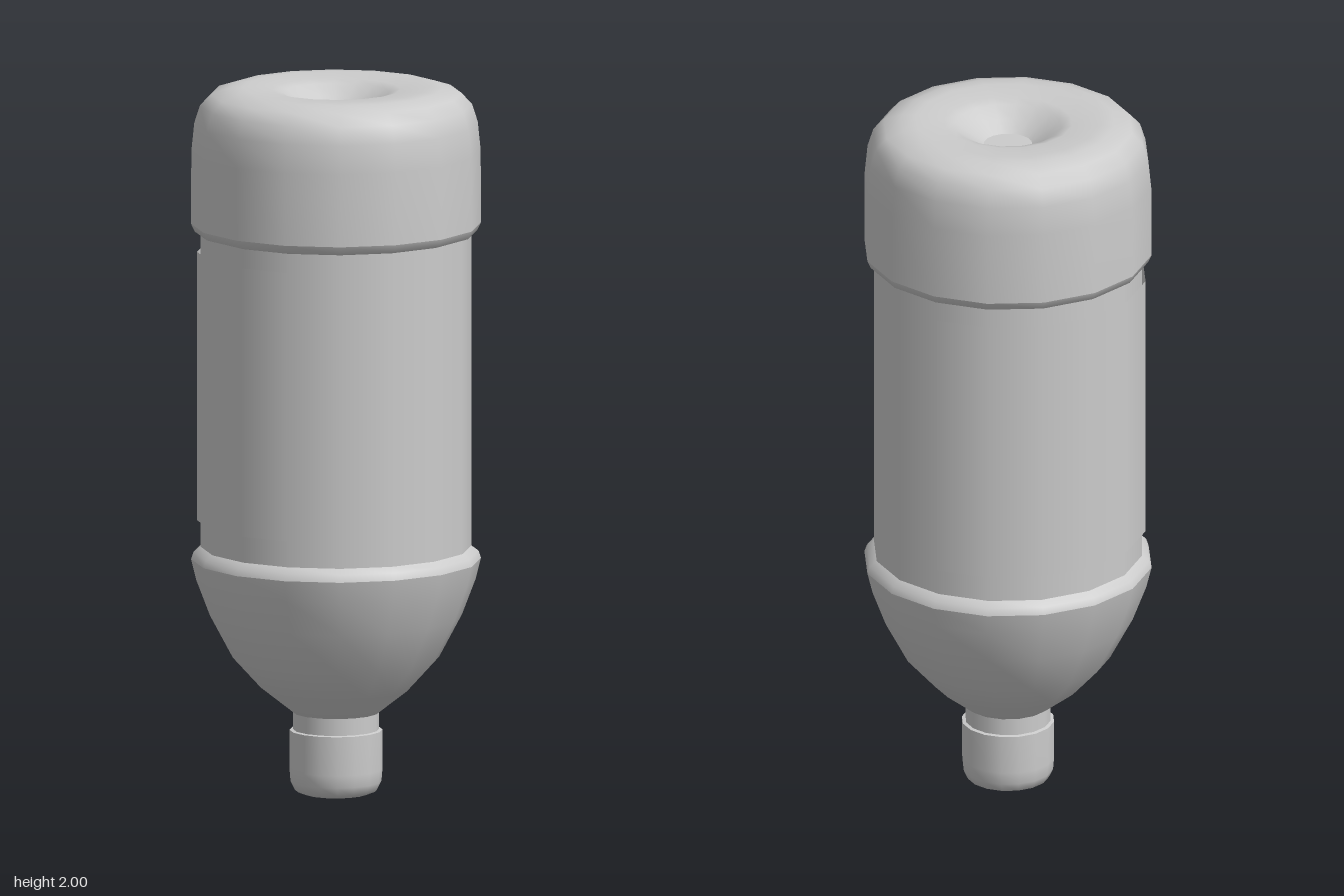
import * as THREE from 'three';

const SIDES = 16;

export function createModel() {
  const group = new THREE.Group();
  const material = new THREE.MeshStandardMaterial({ color: 0xcccccc });
  const thin = new THREE.MeshStandardMaterial({ color: 0xcccccc, side: THREE.DoubleSide });

  const add = (name, geometry, mat = material) => {
    const mesh = new THREE.Mesh(geometry, mat);
    mesh.name = name;
    group.add(mesh);
    return mesh;
  };

  // Each turned section is its own lathe, so the edges between sections stay sharp
  const turn = (name, profile) => add(name,
    new THREE.LatheGeometry(profile.map(([r, y]) => new THREE.Vector2(r, y)), SIDES));

  // Screw cap, at the bottom because the bottle stands upside down
  turn('capEnd', [[0, 0], [0.09, 0]]);
  turn('cap', [[0.09, 0], [0.115, 0.01], [0.127, 0.035], [0.13, 0.07], [0.13, 0.18]]);
  turn('capRim', [[0.13, 0.18], [0.12, 0.182]]);
  turn('neck', [[0.12, 0.18], [0.12, 0.232]]);

  // Curved shoulder and the bevel where it meets the body
  turn('shoulder', [[0.12, 0.23], [0.21, 0.3], [0.288, 0.385], [0.352, 0.505], [0.39, 0.605], [0.405, 0.665]]);
  turn('shoulderBevel', [[0.405, 0.665], [0.398, 0.685], [0.378, 0.7]]);

  turn('body', [[0.378, 0.7], [0.378, 1.59]]);

  // Wider base with a rounded rim and a dimple
  turn('baseBevel', [[0.378, 1.588], [0.395, 1.593], [0.405, 1.615]]);
  turn('base', [
    [0.405, 1.615], [0.404, 1.82], [0.396, 1.9], [0.38, 1.95], [0.35, 1.982], [0.3, 1.998], [0.26, 2],
    [0.18, 1.994], [0.15, 1.985], [0.11, 1.957], [0.068, 1.93],
  ]);
  const floor = add('dimpleFloor', new THREE.CircleGeometry(0.068, SIDES));
  floor.rotation.x = -Math.PI / 2;
  floor.position.y = 1.93;

  // Label wrapped around the -x half of the body
  const label = add('label',
    new THREE.CylinderGeometry(0.388, 0.388, 0.76, SIDES / 2, 1, true, Math.PI, Math.PI), thin);
  label.position.y = 1.155;

  return group;
}
